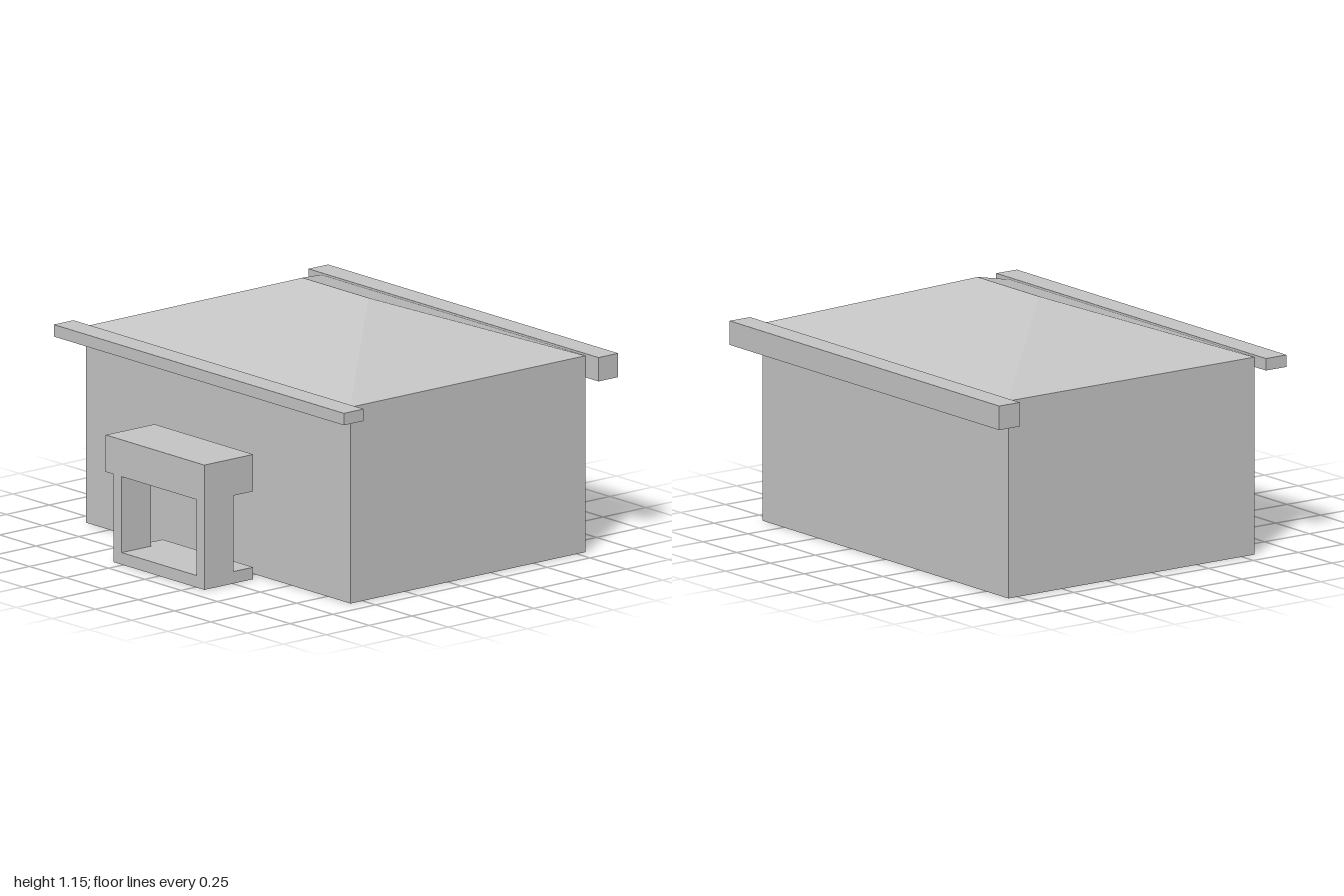
import * as THREE from 'three';

const stone = new THREE.MeshStandardMaterial({ color: 0xc4c4c4, side: THREE.DoubleSide });
stone.name = 'plain grey';

// Face order of BoxGeometry: +x, -x, top, bottom, +z, -z
const TOP = 2, BOTTOM = 3;

// Hollow box between two corners, with some faces left open
function shell(name, [x0, y0, z0], [x1, y1, z1], open = []) {
  const geometry = new THREE.BoxGeometry(x1 - x0, y1 - y0, z1 - z0);
  geometry.translate((x0 + x1) / 2, (y0 + y1) / 2, (z0 + z1) / 2);
  const index = Array.from(geometry.index.array);
  geometry.setIndex(index.filter((_, i) => !open.includes(Math.floor(i / 6))));
  geometry.clearGroups();
  const mesh = new THREE.Mesh(geometry, stone);
  mesh.name = name;
  return mesh;
}

// Four-sided hipped roof with a short ridge along x
function hipRoof(x0, x1, z0, z1, y0, y1, ridge0, ridge1) {
  const zm = (z0 + z1) / 2;
  const a = [x0, y0, z1], b = [x1, y0, z1], c = [x1, y0, z0], d = [x0, y0, z0];
  const l = [ridge0, y1, zm], r = [ridge1, y1, zm];
  const triangles = [
    a, b, r, a, r, l, // front slope
    c, d, l, c, l, r, // back slope
    b, c, r, // left hip
    d, a, l, // right hip
  ];
  const geometry = new THREE.BufferGeometry();
  geometry.setAttribute('position', new THREE.Float32BufferAttribute(triangles.flat(), 3));
  geometry.computeVertexNormals();
  const mesh = new THREE.Mesh(geometry, stone);
  mesh.name = 'hipRoof';
  return mesh;
}

export function createModel() {
  const model = new THREE.Group();
  model.name = 'house';

  // Main body: four walls, open below and under the roof
  model.add(shell('walls', [-0.915, 0, -0.8], [0.91, 0.905, 0.57], [TOP, BOTTOM]));
  model.add(hipRoof(-0.915, 0.91, -0.8, 0.57, 0.905, 1.15, -0.23, 0.225));

  // Eaves beams along front and back, hollow from below
  model.add(shell('frontEave', [-1, 0.86, 0.57], [1, 0.915, 0.685], [BOTTOM]));
  model.add(shell('backEave', [-1, 0.805, -0.915], [1, 0.915, -0.8], [BOTTOM]));

  // Free-standing porch frame in front of the house
  const porch = new THREE.Group();
  porch.name = 'porch';
  porch.add(shell('lintel', [-0.37, 0.405, 0.63], [0.31, 0.575, 0.915]));
  porch.add(shell('sill', [-0.315, 0, 0.63], [0.31, 0.055, 0.915], [BOTTOM]));
  for (const [name, x0, x1] of [['rightJamb', -0.315, -0.26], ['leftJamb', 0.255, 0.31]]) {
    porch.add(shell(name, [x0, 0.055, 0.745], [x1, 0.405, 0.915], [TOP, BOTTOM]));
  }
  model.add(porch);

  return model;
}
